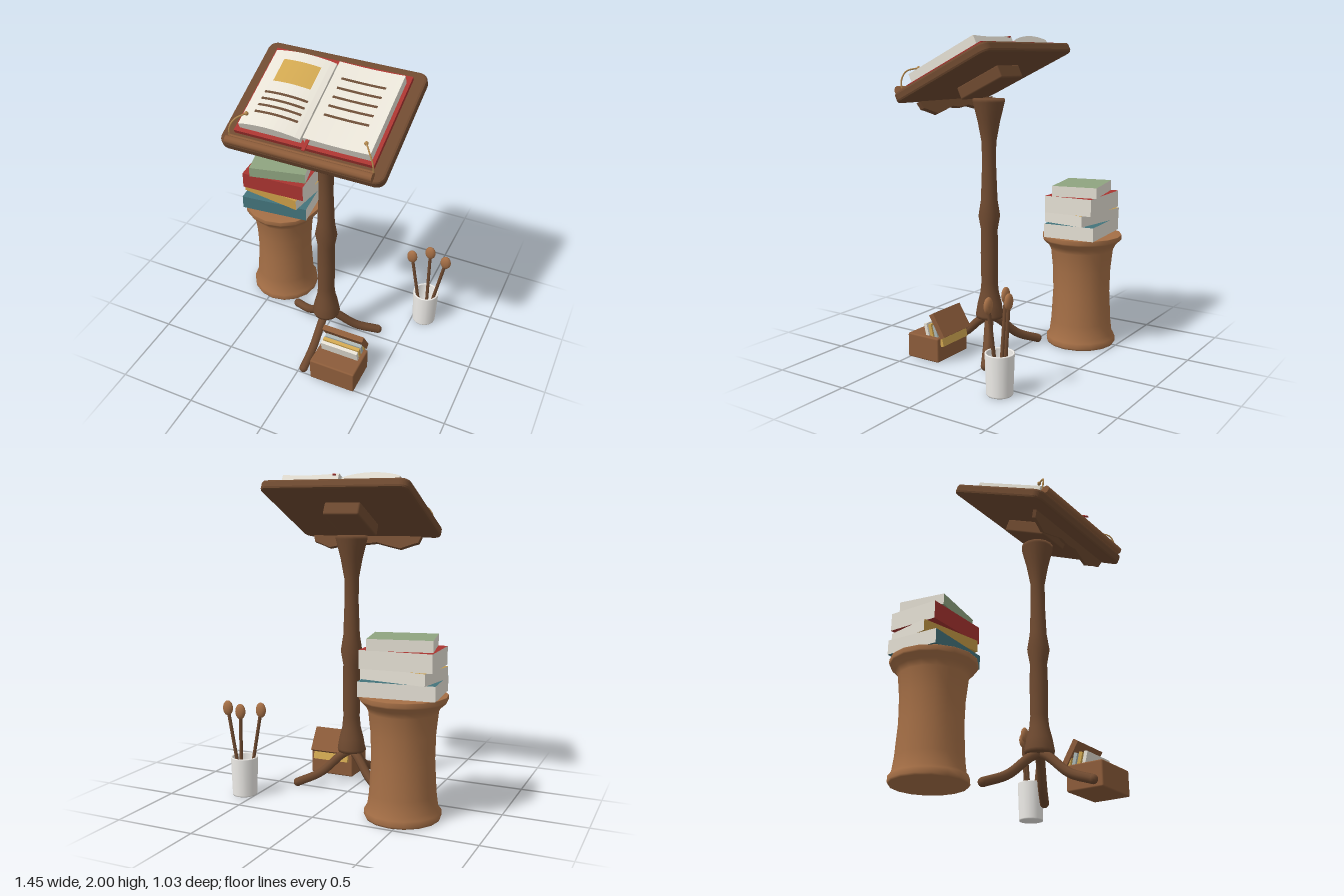
import * as THREE from 'three';
import { RoundedBoxGeometry } from 'three/addons/geometries/RoundedBoxGeometry.js';

const mat = (color, flatShading = false, side = THREE.FrontSide) =>
  new THREE.MeshStandardMaterial({ color, flatShading, side });
const darkWood = mat(0x6f4a30), wood = mat(0x8c5c3a), lightWood = mat(0xa56f46);
const red = mat(0xa83430), paper = mat(0xe6e1d5), brass = mat(0xb58a50), ceramic = mat(0xf0eeea);
const gold = mat(0xcfa650, false, THREE.DoubleSide), ink = mat(0x6a4c36, false, THREE.DoubleSide);

function add(parent, name, geometry, material, x = 0, y = 0, z = 0) {
  const m = new THREE.Mesh(geometry, material);
  m.name = name;
  m.position.set(x, y, z);
  parent.add(m);
  return m;
}
const v3 = (x, y, z) => new THREE.Vector3(x, y, z);
const lathe = (pts, seg) => new THREE.LatheGeometry(pts.map(p => new THREE.Vector2(...p)), seg);
const tube = (pts, r, n = 16, sides = 8) =>
  new THREE.TubeGeometry(new THREE.CatmullRomCurve3(pts), n, r, sides);

// Post and three curved feet
function buildStand() {
  const g = new THREE.Group();
  g.name = 'stand';
  g.position.set(0.035, 0, 0.135);
  add(g, 'post', lathe([[0, 0.23], [0.085, 0.23], [0.09, 0.25], [0.078, 0.32], [0.06, 0.39], [0.053, 0.46],
    [0.056, 0.65], [0.053, 0.8], [0.069, 0.89], [0.053, 0.99], [0.045, 1.2], [0.046, 1.35],
    [0.07, 1.48], [0.1, 1.6], [0.1, 1.62], [0, 1.62]], 16), darkWood);
  for (let i = 0; i < 3; i++) {
    const leg = new THREE.Group();
    leg.name = 'leg';
    leg.rotation.y = i * Math.PI * 2 / 3;
    add(leg, 'legTube', tube([v3(0, 0.23, 0.02), v3(0, 0.2, 0.07), v3(0, 0.09, 0.2), v3(0, 0.03, 0.35)], 0.028), darkWood);
    add(leg, 'legTip', new THREE.SphereGeometry(0.028, 10, 8), darkWood, 0, 0.03, 0.35);
    g.add(leg);
  }
  return g;
}

// Height of the page surface; s is -1 for one page, 1 for the other, t runs from gutter to outer edge
const pageY = (s, t) => s < 0
  ? 0.088 + 0.028 * Math.sin(Math.PI * Math.min(1, t)) ** 0.8 + 0.006 * t
  : 0.116 - 0.014 * Math.sin(Math.PI * t * 0.75) + 0.008 * t;
const pageIn = { '-1': -0.014, 1: 0.008 }, pageW = { '-1': 0.373, 1: 0.385 };

function buildPage(s) {
  const g = new THREE.Group();
  g.name = s < 0 ? 'rightPage' : 'leftPage';
  const x0 = pageIn[s], w = pageW[s];
  const shape = new THREE.Shape();
  shape.moveTo(x0, 0.05);
  for (let i = 0; i <= 12; i++) shape.lineTo(x0 + s * w * i / 12, pageY(s, i / 12));
  shape.lineTo(x0 + s * w, 0.05);
  add(g, 'pageBlock', new THREE.ExtrudeGeometry(shape, { depth: 0.52, bevelEnabled: false }), paper, 0, 0, -0.26);
  // A printed patch that follows the page curve
  const patch = (name, material, cx, cz, pw, pd) => {
    const geo = new THREE.PlaneGeometry(pw, pd, 10, 1).rotateX(-Math.PI / 2).translate(cx, 0, cz);
    const p = geo.attributes.position;
    for (let i = 0; i < p.count; i++) p.setY(i, pageY(s, (p.getX(i) - x0) / (s * w)) + 0.004);
    geo.computeVertexNormals();
    add(g, name, geo, material);
  };
  if (s < 0) patch('illustration', gold, -0.192, -0.12, 0.227, 0.155);
  const rows = s < 0 ? [0.035, 0.08, 0.124, 0.17] : [-0.154, -0.09, -0.029, 0.031, 0.092];
  for (const z of rows) patch('textLine', ink, s * 0.191, z, 0.26, 0.015);
  return g;
}

// Sloping desk with open book, rail, clips and apron
function buildDesk() {
  const g = new THREE.Group();
  g.name = 'desk';
  g.position.set(0.035, 1.779, 0.155);
  g.rotation.x = 0.44;

  const w = 0.473, d = 0.351, r = 0.04, s = new THREE.Shape();
  s.absarc(w - r, d - r, r, 0, Math.PI / 2);
  s.absarc(r - w, d - r, r, Math.PI / 2, Math.PI);
  s.absarc(r - w, r - d, r, Math.PI, Math.PI * 1.5);
  s.absarc(w - r, r - d, r, Math.PI * 1.5, Math.PI * 2);
  const board = new THREE.ExtrudeGeometry(s, { depth: 0.032, bevelThickness: 0.014, bevelSize: 0.014, bevelSegments: 2, curveSegments: 5 });
  add(g, 'board', board.translate(0, 0, -0.016).rotateX(-Math.PI / 2), darkWood);
  add(g, 'mount', new RoundedBoxGeometry(0.24, 0.085, 0.33, 2, 0.012), darkWood, 0, -0.066, 0);

  add(g, 'rail', new RoundedBoxGeometry(0.86, 0.035, 0.05, 2, 0.01), wood, 0, 0.04, 0.335);
  add(g, 'railLip', new THREE.CylinderGeometry(0.024, 0.024, 0.864, 10).rotateZ(Math.PI / 2), wood, 0, 0.052, 0.35);

  // Scalloped apron under the front edge
  const a = new THREE.Shape();
  a.moveTo(-0.38, -0.06);
  a.lineTo(-0.365, -0.104);
  a.quadraticCurveTo(-0.33, -0.112, -0.25, -0.145);
  a.quadraticCurveTo(-0.13, -0.118, -0.08, -0.104);
  a.quadraticCurveTo(0, -0.12, 0.08, -0.104);
  a.quadraticCurveTo(0.13, -0.118, 0.25, -0.145);
  a.quadraticCurveTo(0.33, -0.112, 0.365, -0.104);
  a.lineTo(0.38, -0.06);
  add(g, 'apron', new THREE.ExtrudeGeometry(a, { depth: 0.028, bevelEnabled: false, curveSegments: 6 }), darkWood, 0, 0, 0.263);

  // Open book
  add(g, 'bookCover', new THREE.BoxGeometry(0.829, 0.025, 0.59), red, 0, 0.0425, -0.01);
  g.add(buildPage(-1), buildPage(1));
  add(g, 'ribbon', new THREE.BoxGeometry(0.02, 0.006, 0.6), red, 0.037, 0.106, 0.03);

  // Page clips
  for (const k of [-1, 1]) {
    add(g, 'clipWire', tube([v3(k * 0.425, 0.04, 0.325), v3(k * 0.42, 0.1, 0.3),
      v3(k * 0.395, 0.135, 0.265), v3(k * 0.352, 0.128, 0.206)], 0.005, 14, 6), brass);
    add(g, 'clipBall', new THREE.SphereGeometry(0.012, 10, 8), brass, k * 0.352, 0.126, 0.206);
  }
  return g;
}

// Round pedestal with a stack of books
function buildPedestal() {
  const g = new THREE.Group();
  g.name = 'pedestal';
  g.position.set(-0.47, 0, -0.255);
  add(g, 'pedestalBody', lathe([[0, 0], [0.222, 0], [0.228, 0.012], [0.226, 0.045], [0.208, 0.065], [0.197, 0.15],
    [0.186, 0.35], [0.19, 0.5], [0.204, 0.63], [0.222, 0.665], [0.255, 0.695], [0.259, 0.705],
    [0.259, 0.728], [0.257, 0.731], [0.2, 0.732], [0, 0.732]], 16), lightWood);
  const books = [
    // colour, bottom, height, width, depth, turn, x
    [0x43737b, 0.732, 0.088, 0.45, 0.335, 0.098, 0.002],
    [0xc79a45, 0.82, 0.07, 0.415, 0.29, -0.14, -0.001],
    [0xa83430, 0.89, 0.108, 0.43, 0.32, 0.05, 0.002],
    [0x8fa480, 0.998, 0.067, 0.375, 0.29, 0.22, 0.006],
  ];
  for (const [color, y, h, w, d, turn, x] of books) {
    const cover = mat(color);
    const b = add(g, 'stackedBook', new THREE.BoxGeometry(w, h, d),
      [paper, paper, cover, cover, cover, paper], x, y + h / 2, 0);
    b.rotation.y = turn;
  }
  return g;
}

// Cup holding three round-headed sticks
function buildCup() {
  const g = new THREE.Group();
  g.name = 'cup';
  g.position.set(0.576, 0, -0.305);
  add(g, 'cupBody', lathe([[0, 0], [0.076, 0], [0.078, 0.008], [0.086, 0.24], [0.085, 0.245], [0.077, 0.245],
    [0.076, 0.24], [0.068, 0.02], [0, 0.02]], 16), ceramic);
  const sticks = [[-0.021, 0.013, -0.107, 0.03], [0.003, -0.03, -0.01, -0.054], [0.021, -0.001, 0.113, -0.002]];
  for (const [x0, z0, x1, z1] of sticks) {
    add(g, 'stick', tube([v3(x0, 0.03, z0), v3(x1, 0.54, z1)], 0.011, 1), darkWood);
    add(g, 'stickHead', new THREE.SphereGeometry(0.035, 12, 10).scale(1, 1.38, 0.6), lightWood, x1, 0.545, z1);
  }
  return g;
}

// Small chest with an open lid and upright cards
function buildChest() {
  const g = new THREE.Group();
  g.name = 'chest';
  g.position.set(0.245, 0, 0.394);
  add(g, 'chestBody', new RoundedBoxGeometry(0.304, 0.155, 0.238, 2, 0.01), wood, 0, 0.0775, 0);
  const lid = add(g, 'lid', new THREE.BoxGeometry(0.275, 0.165, 0.035), wood, 0, 0.23, -0.1);
  lid.rotation.x = 0.55;
  [paper, gold, mat(0xaab5b3), gold].forEach((m, i) => {
    const card = add(g, 'card', new THREE.BoxGeometry(0.25, 0.13, 0.022), m, 0, 0.165, -0.015 - i * 0.034);
    card.rotation.x = 0.25;
  });
  return g;
}

export function createModel() {
  const model = new THREE.Group();
  model.name = 'readingStand';
  model.add(buildStand(), buildDesk(), buildPedestal(), buildCup(), buildChest());
  return model;
}
